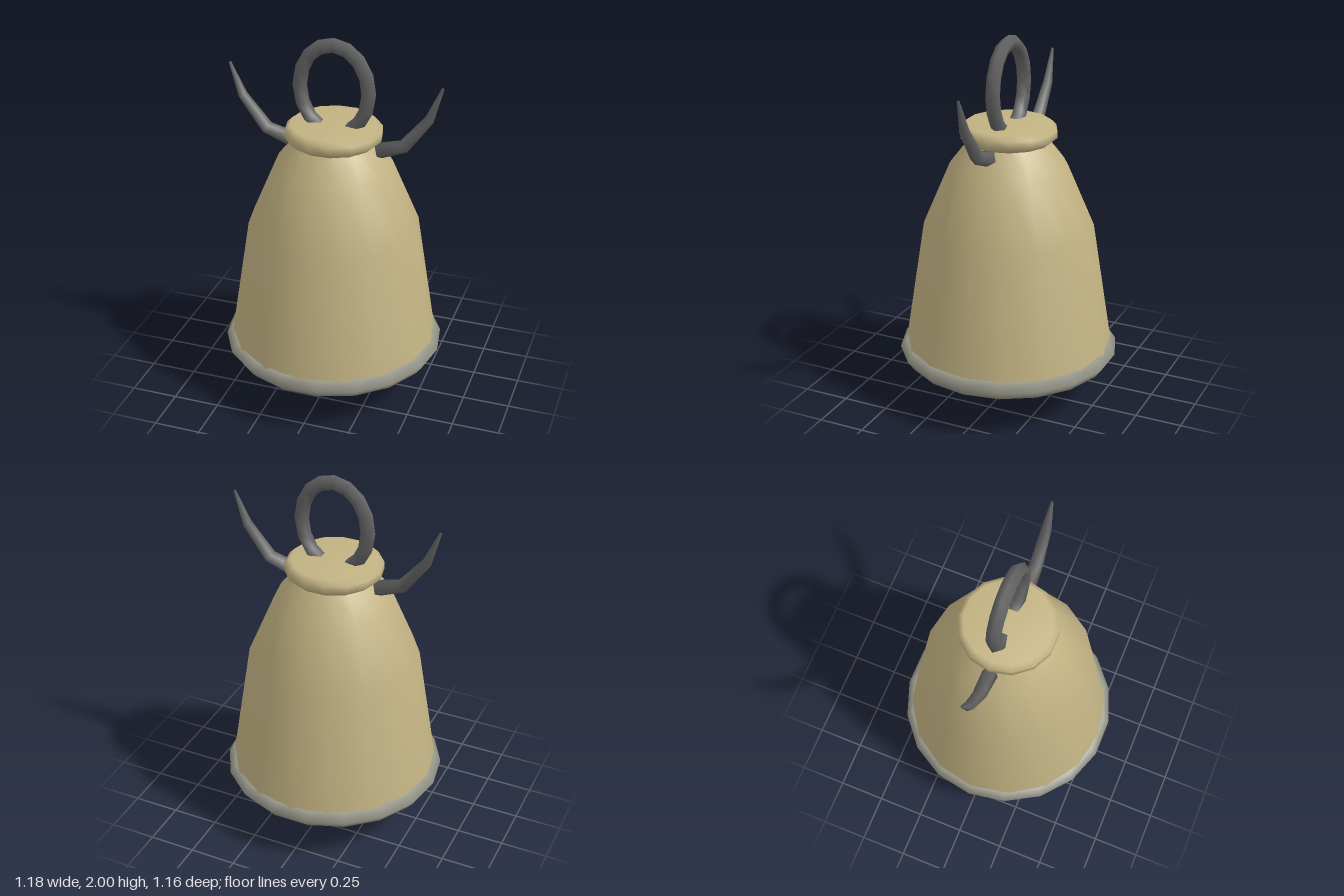
import * as THREE from 'three';

const brass = new THREE.MeshStandardMaterial({ name: 'brass', color: 0xc3b383, side: THREE.DoubleSide });
const iron = new THREE.MeshStandardMaterial({ name: 'dark iron', color: 0x626262 });
const pewter = new THREE.MeshStandardMaterial({ name: 'grey rim', color: 0x97978a });
const steel = new THREE.MeshStandardMaterial({ name: 'blue steel', color: 0x9bb5c2 });

function part(name, geometry, material) {
  const mesh = new THREE.Mesh(geometry, material);
  mesh.name = name;
  return mesh;
}

function lathe(points, sides, start = 0) {
  return new THREE.LatheGeometry(points.map(([r, y]) => new THREE.Vector2(r, y)), sides, start);
}

// Tapered five-sided horn swept through stations [x, y, radius], one ridge along its underside
function hornGeometry(stations, side) {
  const n = 5, pos = [], idx = [];
  stations.forEach(([x, y, r], k) => {
    const a = stations[Math.max(k - 1, 0)], b = stations[Math.min(k + 1, stations.length - 1)];
    const len = Math.hypot(b[0] - a[0], b[1] - a[1]);
    const nx = (b[1] - a[1]) / len, ny = -(b[0] - a[0]) / len;
    for (let i = 0; i < n; i++) {
      const t = (i / n) * Math.PI * 2, c = r * Math.cos(t);
      pos.push(side * (x + nx * c), y + ny * c, r * Math.sin(t));
    }
  });
  const tri = (a, b, c) => (side > 0 ? idx.push(a, b, c) : idx.push(a, c, b));
  for (let k = 0; k < stations.length - 1; k++) {
    for (let i = 0; i < n; i++) {
      const a = k * n + i, b = k * n + (i + 1) % n;
      tri(a, a + n, b);
      tri(b, a + n, b + n);
    }
  }
  // end caps
  const last = (stations.length - 1) * n;
  for (let i = 1; i < n - 1; i++) {
    tri(0, i, i + 1);
    tri(last, last + i + 1, last + i);
  }
  const g = new THREE.BufferGeometry();
  g.setAttribute('position', new THREE.Float32BufferAttribute(pos, 3));
  g.setIndex(idx);
  g.computeVertexNormals();
  return g;
}

// Torus whose centre line is stretched upward while the tube keeps its thickness
function ovalRingGeometry(rx, ry, tube) {
  const g = new THREE.TorusGeometry(rx, tube, 5, 16);
  const p = g.attributes.position;
  for (let i = 0; i < p.count; i++) {
    const angle = Math.atan2(p.getY(i), p.getX(i));
    p.setY(i, p.getY(i) + (ry - rx) * Math.sin(angle));
  }
  return g;
}

export function createModel() {
  const bell = new THREE.Group();
  bell.name = 'bell';

  // Hollow body, open at the bottom
  bell.add(part('body', lathe([[0.562, 0.28], [0.45, 0.985], [0.305, 1.325], [0.2, 1.46]], 16), brass));

  // Softly bevelled collar
  bell.add(part('collar', lathe([
    [0, 1.45], [0.225, 1.45], [0.254, 1.475], [0.254, 1.515], [0.225, 1.543], [0, 1.543],
  ], 14, Math.PI / 2), brass));

  // Rim around the mouth
  const rim = part('rim', new THREE.TorusGeometry(0.54, 0.05, 5, 18), pewter);
  rim.rotation.x = Math.PI / 2;
  rim.position.y = 0.285;
  bell.add(rim);

  // Oval hanging ring, sunk into the collar
  const ring = part('hangingRing', ovalRingGeometry(0.183, 0.236, 0.039), iron);
  ring.position.y = 1.725;
  bell.add(ring);

  // Pair of curved horns
  const stations = [[0.237, 1.421, 0.043], [0.368, 1.464, 0.037], [0.497, 1.63, 0.027], [0.562, 1.805, 0.007]];
  bell.add(part('leftHorn', hornGeometry(stations, 1), iron));
  bell.add(part('rightHorn', hornGeometry(stations, -1), iron));

  // Drop-shaped clapper, pointed at the top
  bell.add(part('clapper', lathe([
    [0, 0.005], [0.08, 0.05], [0.105, 0.17], [0.07, 0.27], [0, 0.37],
  ], 8), steel));

  return bell;
}
